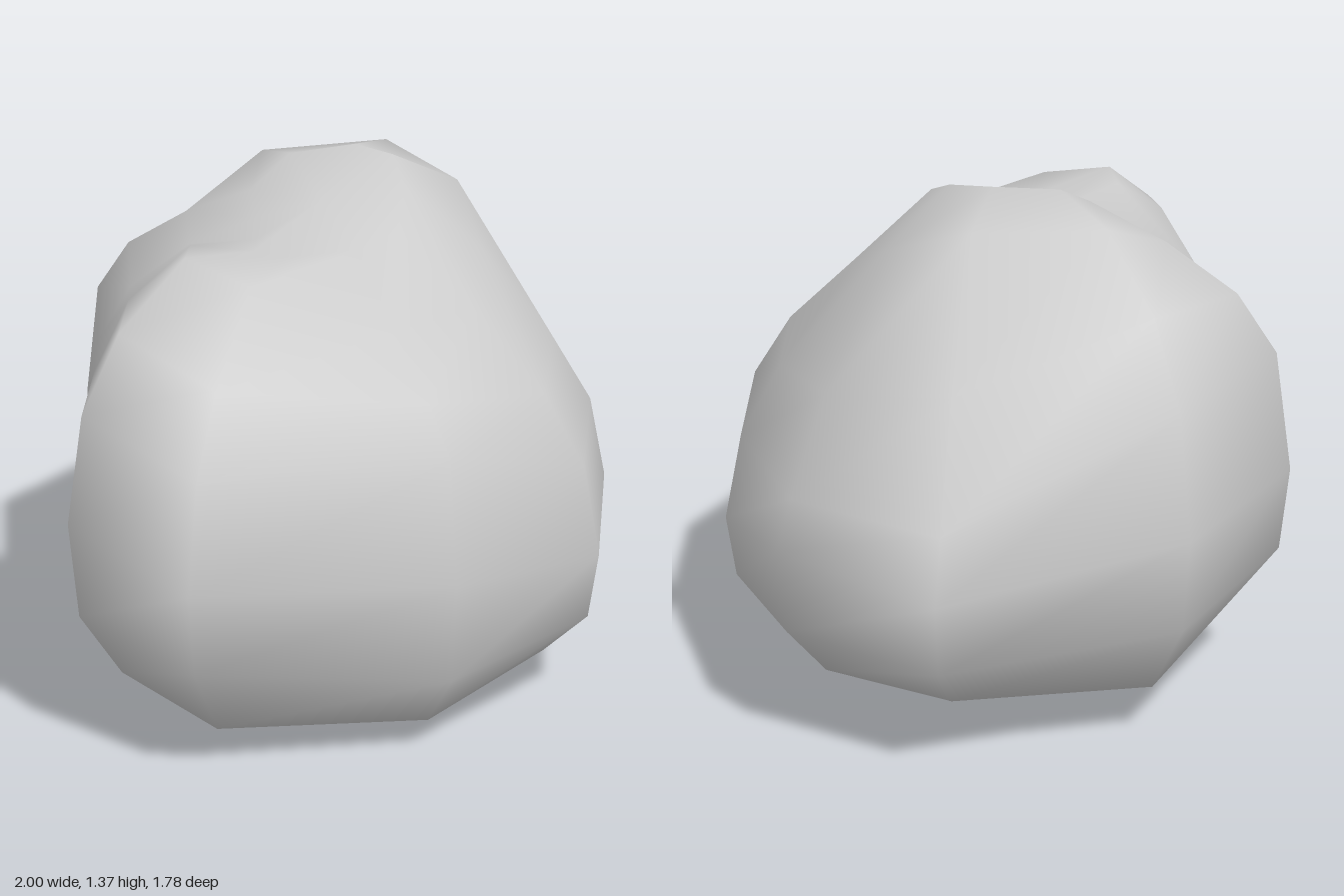
import * as THREE from 'three';

// Share of the plan outline reached by each ring, from underside to crown
const reach = [0.6, 0.82, 0.97, 1, 0.94, 0.8, 0.55, 0.28];

// Outline corner [x, z] and the height of each ring in that direction
const spokes = [
  { at: [-1.0, 0.18], y: [0.09, 0.18, 0.39, 0.65, 0.92, 1.10, 1.24, 1.20] },
  { at: [-0.92, 0.56], y: [0.03, 0.11, 0.33, 0.55, 0.82, 1.01, 1.20, 1.20] },
  { at: [-0.33, 0.89], y: [0.0, 0.08, 0.25, 0.52, 0.84, 0.94, 1.06, 1.21] },
  { at: [0.25, 0.83], y: [0.04, 0.12, 0.25, 0.43, 0.67, 0.85, 1.05, 1.23] },
  { at: [0.7, 0.43], y: [0.06, 0.13, 0.27, 0.44, 0.67, 0.86, 1.12, 1.31] },
  { at: [1.0, -0.07], y: [0.08, 0.17, 0.33, 0.56, 0.68, 0.92, 1.24, 1.36] },
  { at: [0.92, -0.53], y: [0.08, 0.17, 0.31, 0.50, 0.66, 0.97, 1.32, 1.37] },
  { at: [0.37, -0.89], y: [0.07, 0.14, 0.35, 0.60, 0.92, 1.13, 1.30, 1.35] },
  { at: [-0.24, -0.77], y: [0.14, 0.21, 0.37, 0.60, 0.92, 1.07, 1.19, 1.28] },
  { at: [-0.5, -0.42], y: [0.13, 0.23, 0.41, 0.62, 0.89, 1.04, 1.16, 1.23] },
  { at: [-0.8, -0.03], y: [0.11, 0.21, 0.41, 0.65, 0.95, 1.12, 1.23, 1.21] },
];

function boulderGeometry() {
  const n = spokes.length;
  const positions = [];
  const index = [];

  // Rings of the boulder
  reach.forEach((r, ring) => {
    for (const { at: [x, z], y } of spokes) positions.push(x * r, y[ring], z * r);
  });

  // Centres of the underside and the crown
  const bottom = positions.length / 3;
  const top = bottom + 1;
  positions.push(0, 0.06, 0, 0, 1.28, 0);

  const last = (reach.length - 1) * n;
  for (let i = 0; i < n; i++) {
    const j = (i + 1) % n;
    for (let base = 0; base < last; base += n) {
      const a = base + i, b = base + j, c = a + n, d = b + n;
      index.push(a, b, d, a, d, c);
    }
    index.push(bottom, j, i);
    index.push(top, last + i, last + j);
  }

  const geometry = new THREE.BufferGeometry();
  geometry.setAttribute('position', new THREE.Float32BufferAttribute(positions, 3));
  geometry.setIndex(index);
  geometry.computeVertexNormals();
  return geometry;
}

export function createModel() {
  const group = new THREE.Group();
  group.name = 'rock';

  const boulder = new THREE.Mesh(
    boulderGeometry(),
    new THREE.MeshStandardMaterial({ color: 0xcccccc })
  );
  boulder.name = 'boulder';
  group.add(boulder);

  return group;
}
